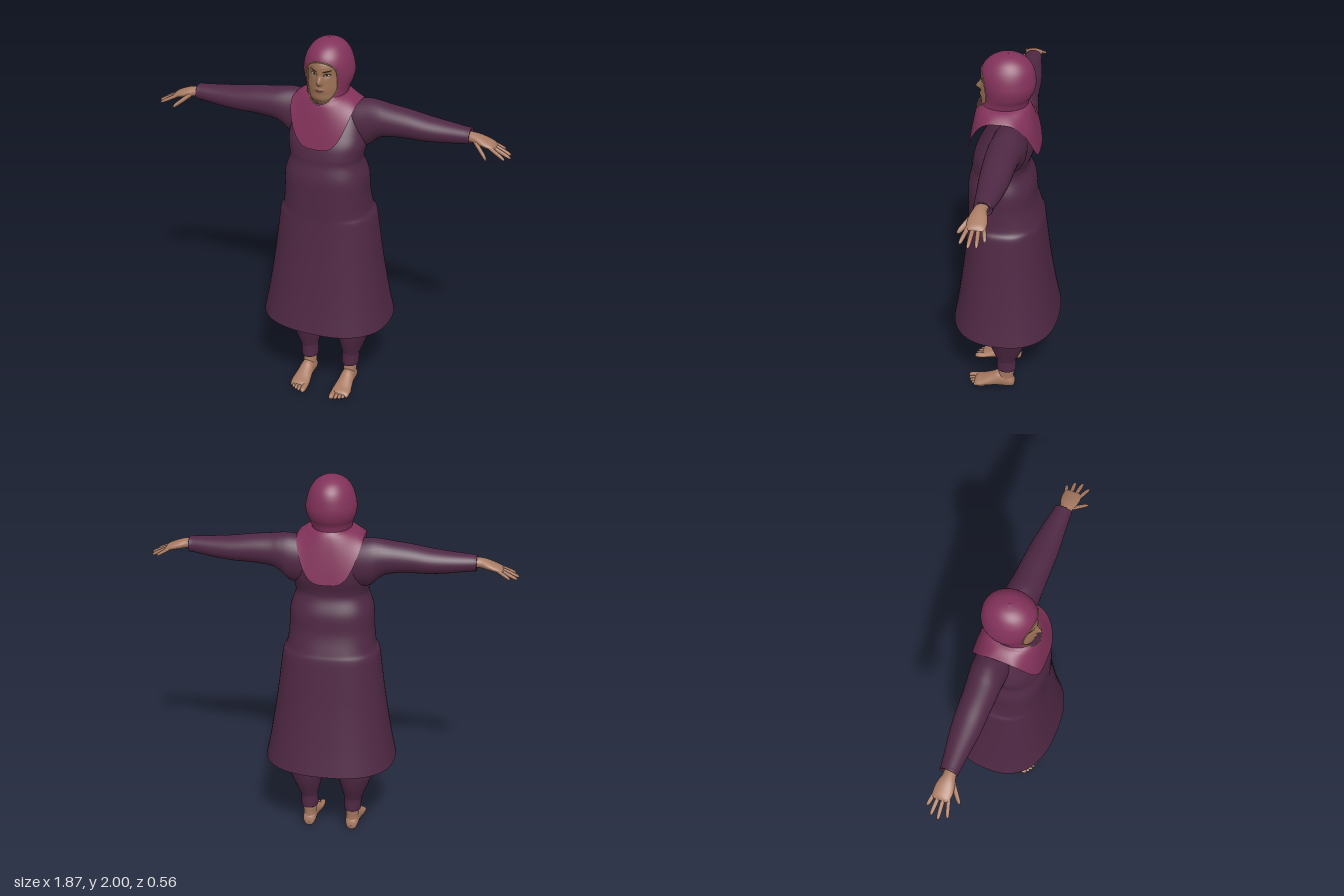
import * as THREE from 'three';

const mat = (name, color) => new THREE.MeshStandardMaterial({ name, color, side: THREE.DoubleSide });

// Resample a table of cross-section rows with a Catmull-Rom spline
function smooth(table, n) {
  const last = table.length - 1;
  return Array.from({ length: n + 1 }, (_, k) => {
    const f = (k / n) * last, i = Math.min(Math.floor(f), last - 1), t = f - i;
    const [a, b, c, d] = [-1, 0, 1, 2].map(o => table[Math.min(last, Math.max(0, i + o))]);
    return b.map((_, j) => 0.5 * (2 * b[j] + (c[j] - a[j]) * t
      + (2 * a[j] - 5 * b[j] + 4 * c[j] - d[j]) * t * t
      + (3 * b[j] - a[j] - 3 * c[j] + d[j]) * t * t * t));
  });
}

// Skin a list of point rows into one smooth surface
function skinRows(rows, closed, material, name) {
  const n = rows[0].length, index = [];
  for (let i = 0; i < rows.length - 1; i++) {
    for (let j = 0; j < (closed ? n : n - 1); j++) {
      const k = (j + 1) % n, a = i * n + j, b = i * n + k;
      index.push(a, b, b + n, a, b + n, a + n);
    }
  }
  const geo = new THREE.BufferGeometry();
  geo.setAttribute('position', new THREE.Float32BufferAttribute(rows.flat(2), 3));
  geo.setIndex(index);
  geo.computeVertexNormals();
  const mesh = new THREE.Mesh(geo, material);
  mesh.name = name;
  return mesh;
}

const power = (v, p) => Math.sign(v) * Math.abs(v) ** p;

// Loft along an axis (0 x, 1 y, 2 z); row = [position, centre1, centre2, radius1, radius2]
function loft(axis, table, steps, sides, material, name, p = 1) {
  const rows = smooth(table, steps).map(([t, c1, c2, r1, r2]) =>
    Array.from({ length: sides }, (_, j) => {
      const a = (j / sides) * Math.PI * 2, v = [0, 0, 0];
      v[axis] = t;
      v[(axis + 1) % 3] = c1 + r1 * power(Math.cos(a), p);
      v[(axis + 2) % 3] = c2 + r2 * power(Math.sin(a), p);
      return v;
    }));
  return skinRows(rows, true, material, name);
}

// Upright loft row from front z, back z, centre x and half width
const upright = ([y, front, back, x, rx]) => [y, (front + back) / 2, x, (front - back) / 2, rx];

// Finger or toe between two points
function digit(axis, from, to, r, material, name) {
  const row = (t, s) => {
    const v = from.map((a, i) => a + (to[i] - a) * t);
    return [v[axis], v[(axis + 1) % 3], v[(axis + 2) % 3], r * s, r * s];
  };
  return loft(axis, [row(0, 1), row(0.35, 1), row(0.6, 0.98), row(0.85, 0.85), row(0.97, 0.5), row(1, 0.02)],
    12, 10, material, name);
}

// Face relief
const profile = [0.105, 0.13, 0.134, 0.136, 0.134, 0.132, 0.135, 0.13, 0.112].map(z => [z]);
const profileFine = smooth(profile, 96);
const bump = (v, w) => Math.exp(-((v / w) ** 2));
function faceZ(x, y) {
  const i = Math.round(THREE.MathUtils.clamp((y - 1.69) / 0.24, 0, 1) * 96);
  return profileFine[i][0] - 8.5 * x * x
    + 0.027 * bump(x, 0.012) * bump(y - 1.81, y < 1.81 ? 0.01 : 0.03)
    - 0.008 * bump(Math.abs(x) - 0.033, 0.016) * bump(y - 1.852, 0.013)
    + 0.005 * bump(x, 0.022) * bump(y - 1.772, 0.01);
}

// Thin oval laid on the face
function facePatch(x, y, rx, ry, tilt, lift, material, name) {
  const geo = new THREE.RingGeometry(0.001, 1, 24, 4).scale(rx, ry, 1).rotateZ(tilt).translate(x, y, 0);
  const pos = geo.attributes.position;
  for (let i = 0; i < pos.count; i++) pos.setZ(i, faceZ(pos.getX(i), pos.getY(i)) + lift);
  geo.computeVertexNormals();
  const mesh = new THREE.Mesh(geo, material);
  mesh.name = name;
  return mesh;
}

// Half width of the face opening in the scarf
function openingHalf(y) {
  const k = (y - 1.813) / 0.103;
  return Math.abs(k) >= 1 ? 0 : 0.08 * Math.sqrt(1 - Math.abs(k) ** (k < 0 ? 2.3 : 4));
}

function buildScarf(cloth, trim) {
  const group = new THREE.Group();
  group.name = 'headscarf';
  // y, half width, front z, back z
  const hood = smooth([
    [2, 0.001, 0.001, -0.001], [1.992, 0.042, 0.047, -0.047], [1.973, 0.074, 0.086, -0.085],
    [1.945, 0.097, 0.115, -0.112], [1.915, 0.112, 0.13, -0.126], [1.88, 0.122, 0.135, -0.133],
    [1.84, 0.127, 0.131, -0.135], [1.8, 0.12, 0.128, -0.125], [1.765, 0.107, 0.131, -0.106],
    [1.735, 0.1, 0.14, -0.098]], 72);
  const sides = 64, rows = [], left = [], right = [];
  for (const [y, rx, zf, zb] of hood) rows.push(ring(y, rx, zf, zb, 1, () => y));
  // Draped part, longer in front and back than over the shoulders
  for (let i = 1; i <= 24; i++) {
    const s = i / 24, e = s ** 0.6, mix = (a, b) => a + (b - a) * e;
    rows.push(ring(1.735 - 0.255 * s, mix(0.1, 0.168), mix(0.14, 0.193), mix(-0.098, -0.163), 1 - 0.4 * e,
      a => 1.735 + (1.48 + 0.218 * Math.sin(a) ** 2 - 1.735) * s));
  }
  function ring(y, rx, zf, zb, p, height) {
    const half = openingHalf(y), start = half > 0 ? Math.asin(Math.min(1, half / rx)) : 0;
    const c = (zf + zb) / 2, rz = (zf - zb) / 2;
    const pts = Array.from({ length: sides + 1 }, (_, j) => {
      const a = start + (j / sides) * (Math.PI * 2 - 2 * start);
      return [rx * power(Math.sin(a), p), height(a), c + rz * power(Math.cos(a), p)];
    });
    if (half > 0) {
      right.push(new THREE.Vector3(...pts[0]));
      left.unshift(new THREE.Vector3(...pts[sides]));
    }
    return pts;
  }
  const mesh = skinRows(rows.reverse(), false, cloth, 'scarf');
  // Blend the front seam
  const { position, normal } = mesh.geometry.attributes;
  for (let i = 0; i < position.count; i++) {
    if (Math.abs(position.getX(i)) > 1e-5) continue;
    const l = Math.hypot(normal.getY(i), normal.getZ(i)) || 1;
    normal.setXYZ(i, 0, normal.getY(i) / l, normal.getZ(i) / l);
  }
  const edge = new THREE.CatmullRomCurve3([...right, ...left], true);
  const rim = new THREE.Mesh(new THREE.TubeGeometry(edge, 120, 0.003, 6, true), trim);
  rim.name = 'faceOpeningTrim';
  group.add(mesh, rim);
  return group;
}

export function createModel() {
  const plum = mat('plum dress', 0x4f2844), berry = mat('berry scarf', 0x82325a);
  const skin = mat('skin', 0xa87a62), faceSkin = mat('face skin', 0x9a7054), trim = mat('tan trim', 0xb59468);
  const dark = mat('dark brown', 0x2a1a16), white = mat('eye white', 0xb8aca0), lip = mat('lips', 0x7d4c42);
  const model = new THREE.Group();
  model.name = 'robedWoman';

  // Long flared dress
  model.add(loft(1, [
    [0.455, 0.28, -0.28, 0, 0.343], [0.6, 0.255, -0.252, 0, 0.315], [0.8, 0.228, -0.22, 0, 0.283],
    [0.98, 0.208, -0.198, 0, 0.26], [1.07, 0.2, -0.187, 0, 0.248], [1.11, 0.199, -0.175, 0, 0.228],
    [1.2, 0.198, -0.15, 0, 0.217], [1.3, 0.195, -0.14, 0, 0.212], [1.38, 0.178, -0.112, 0, 0.187],
    [1.42, 0.174, -0.112, 0, 0.19], [1.48, 0.16, -0.13, 0, 0.2], [1.54, 0.13, -0.137, 0, 0.192],
    [1.6, 0.095, -0.132, 0, 0.175], [1.65, 0.06, -0.115, 0, 0.15], [1.685, 0.03, -0.085, 0, 0.11],
    [1.71, 0.02, -0.07, 0, 0.05]].map(upright), 90, 64, plum, 'dress', 0.82));

  model.add(buildScarf(berry, trim));

  // Face
  const faceGeo = new THREE.PlaneGeometry(0.17, 0.24, 48, 64).translate(0, 1.81, 0);
  const pos = faceGeo.attributes.position;
  for (let i = 0; i < pos.count; i++) pos.setZ(i, faceZ(pos.getX(i), pos.getY(i)));
  faceGeo.computeVertexNormals();
  const face = new THREE.Mesh(faceGeo, faceSkin);
  face.name = 'face';
  model.add(face, facePatch(0, 1.772, 0.024, 0.007, 0, 0.0015, lip, 'lips'));
  model.add(facePatch(0, 1.772, 0.022, 0.0012, 0, 0.0025, dark, 'mouthLine'));

  for (const s of [1, -1]) {
    model.add(facePatch(s * 0.034, 1.852, 0.018, 0.0075, s * 0.1, 0.0015, dark, 'eyeOutline'));
    model.add(facePatch(s * 0.034, 1.851, 0.013, 0.0045, s * 0.1, 0.0025, white, 'eye'));
    model.add(facePatch(s * 0.033, 1.851, 0.0055, 0.005, 0, 0.0035, dark, 'iris'));
    model.add(facePatch(s * 0.036, 1.872, 0.022, 0.0036, s * 0.16, 0.0015, dark, 'eyebrow'));

    const half = new THREE.Group();
    half.name = s > 0 ? 'leftLimbs' : 'rightLimbs';
    half.scale.x = s;
    model.add(half);

    // Sleeve, turned in at the cuff
    half.add(loft(0, [
      [0.06, 1.57, -0.03, 0.1, 0.075], [0.13, 1.567, -0.03, 0.118, 0.088], [0.2, 1.573, -0.03, 0.122, 0.09],
      [0.25, 1.593, -0.026, 0.099, 0.086], [0.3, 1.601, -0.022, 0.083, 0.082], [0.4, 1.6, -0.02, 0.072, 0.077],
      [0.5, 1.593, -0.018, 0.063, 0.072], [0.6, 1.592, -0.015, 0.053, 0.06], [0.7, 1.595, -0.01, 0.042, 0.047],
      [0.725, 1.595, -0.01, 0.04, 0.045], [0.72, 1.595, -0.01, 0.026, 0.03]], 60, 32, plum, 'sleeve'));

    // Hand with drooping fingers
    half.add(loft(0, [
      [0.69, 1.597, -0.005, 0.027, 0.03], [0.74, 1.595, 0, 0.025, 0.032], [0.775, 1.588, 0, 0.024, 0.042],
      [0.81, 1.578, 0, 0.02, 0.047], [0.843, 1.568, 0, 0.015, 0.043], [0.856, 1.565, 0, 0.002, 0.03]],
    20, 20, skin, 'palm'));
    [[0.033, 0.915, 1.53, 0.06], [0.011, 0.935, 1.525, 0.02], [-0.011, 0.927, 1.525, -0.018],
      [-0.033, 0.892, 1.535, -0.05]].forEach(([z, ...tip]) =>
      half.add(digit(0, [0.825, 1.572, z], tip, 0.0105, skin, 'finger')));
    half.add(digit(0, [0.75, 1.587, 0.02], [0.832, 1.527, 0.085], 0.0145, skin, 'thumb'));

    // Trouser leg
    half.add(loft(1, [
      [0.13, 0.03, -0.05, 0.118, 0.034], [0.128, 0.042, -0.062, 0.118, 0.045], [0.19, 0.042, -0.063, 0.12, 0.046],
      [0.21, 0.046, -0.069, 0.122, 0.051], [0.3, 0.075, -0.107, 0.128, 0.079], [0.38, 0.088, -0.125, 0.134, 0.1],
      [0.46, 0.09, -0.13, 0.133, 0.103], [0.6, 0.1, -0.13, 0.13, 0.107], [0.8, 0.115, -0.135, 0.118, 0.115],
      [1, 0.12, -0.13, 0.1, 0.1]].map(upright), 50, 32, plum, 'trouserLeg'));

    // Bare foot
    half.add(loft(1, [
      [0.03, 0.028, -0.05, 0.117, 0.034], [0.08, 0.036, -0.05, 0.117, 0.034], [0.12, 0.03, -0.055, 0.118, 0.036],
      [0.2, 0.03, -0.055, 0.118, 0.036]].map(upright), 12, 20, skin, 'ankle'));
    half.add(loft(2, [
      [-0.057, 0.117, 0.034, 0.002, 0.002], [-0.05, 0.117, 0.036, 0.025, 0.028], [-0.025, 0.117, 0.045, 0.035, 0.044],
      [0.03, 0.118, 0.05, 0.037, 0.05], [0.07, 0.119, 0.039, 0.042, 0.039], [0.12, 0.119, 0.025, 0.05, 0.025],
      [0.155, 0.118, 0.018, 0.05, 0.018], [0.168, 0.117, 0.016, 0.035, 0.004]], 32, 24, skin, 'foot'));
    for (let i = 0; i < 5; i++) {
      const x = [0.083, 0.107, 0.126, 0.143, 0.158][i], tip = 0.205 - 0.003 * i - 0.0016 * i * i;
      half.add(digit(2, [x, 0.018, tip - 0.06], [x, 0.013, tip], i ? 0.0105 : 0.0155, skin, 'toe'));
    }
  }
  return model;
}
